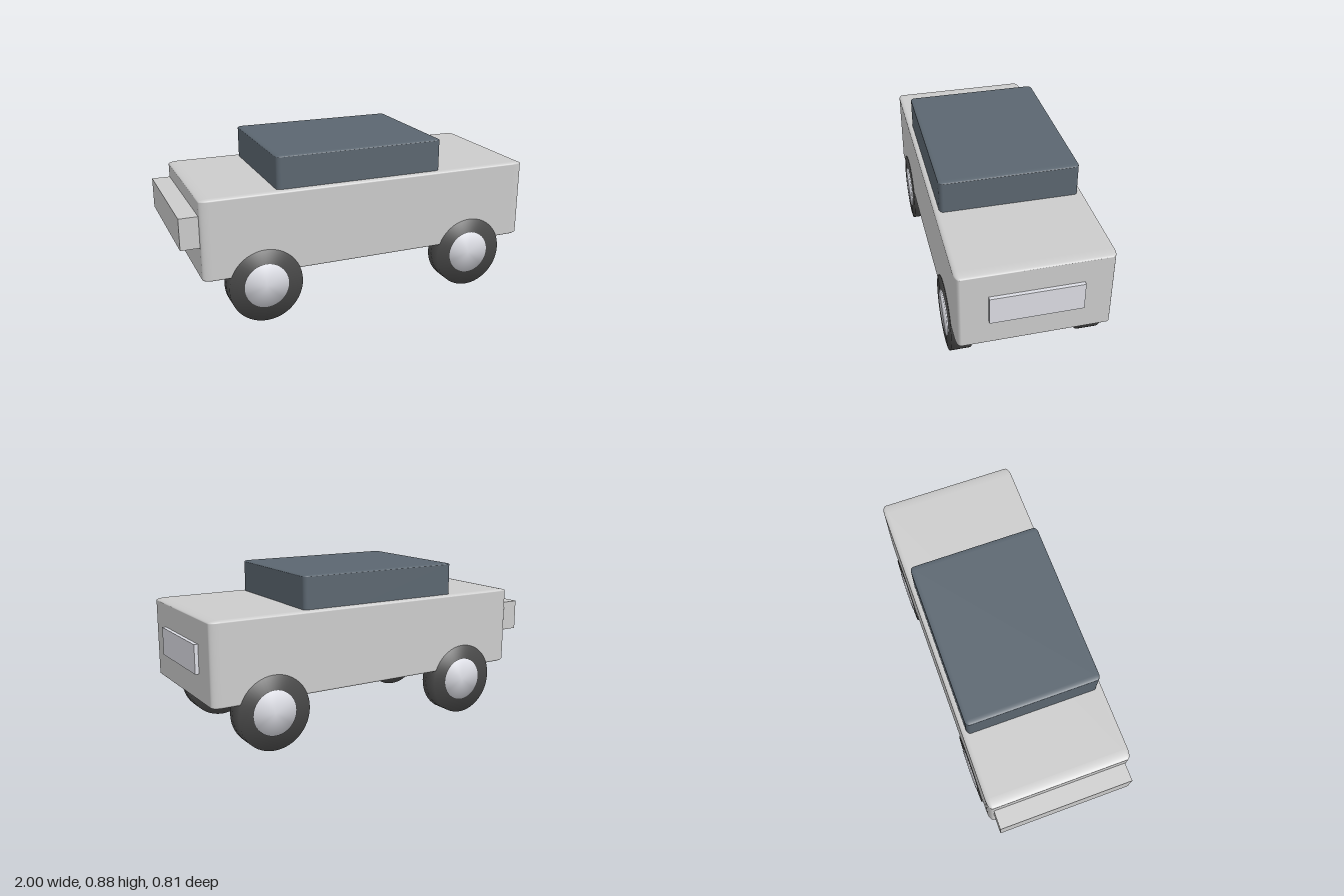
import * as THREE from 'three';
import { RoundedBoxGeometry } from 'three/addons/geometries/RoundedBoxGeometry.js';
import { mergeVertices } from 'three/addons/utils/BufferGeometryUtils.js';

const material = (color) => new THREE.MeshStandardMaterial({ color });
const grey = material(0xcccccc);
const glass = material(0x5b6670);
const rubber = material(0x484848);
const metal = material(0xdcdde4);

// Mesh spanning the box from min to max; bevel is a fraction of each side
function block(name, min, max, mat, bevel = 0) {
  const geometry = bevel
    ? new RoundedBoxGeometry(1, 1, 1, 5, bevel)
    : new THREE.BoxGeometry(1, 1, 1);
  const size = max.map((v, i) => v - min[i]);
  geometry.scale(...size);
  geometry.translate(...max.map((v, i) => (v + min[i]) / 2));
  const mesh = new THREE.Mesh(geometry, mat);
  mesh.name = name;
  return mesh;
}

// Disc along z with normals blended softly over its rim
function disc(name, radius, width, mat) {
  let geometry = new THREE.CylinderGeometry(radius, radius, width, 48);
  geometry.rotateX(Math.PI / 2);
  geometry.deleteAttribute('normal');
  geometry.deleteAttribute('uv');
  geometry = mergeVertices(geometry);
  geometry.computeVertexNormals();
  const mesh = new THREE.Mesh(geometry, mat);
  mesh.name = name;
  return mesh;
}

export function createModel() {
  const car = new THREE.Group();
  car.name = 'car';

  // Body and cabin
  car.add(
    block('body', [-0.9, 0.265, -0.397], [0.98, 0.705, 0.397], grey, 0.03),
    block('cabin', [-0.49, 0.6, -0.37], [0.455, 0.882, 0.37], glass, 0.03)
  );

  // Grille plate at the nose and box at the tail
  car.add(
    block('grille', [0.96, 0.415, -0.238], [1, 0.567, 0.238], metal),
    block('tailBox', [-1, 0.45, -0.37], [-0.88, 0.618, 0.37], grey)
  );

  // Four wheels, each a tire with a hub showing on both faces
  for (const [end, x] of [['rear', -0.568], ['front', 0.646]]) {
    for (const [side, z] of [['Near', 0.347], ['Far', -0.347]]) {
      const wheel = new THREE.Group();
      wheel.name = `${end}${side}Wheel`;
      wheel.position.set(x, 0.2, z);
      wheel.add(
        disc('tire', 0.2, 0.108, rubber),
        disc('hub', 0.12, 0.12, metal)
      );
      car.add(wheel);
    }
  }
  return car;
}
